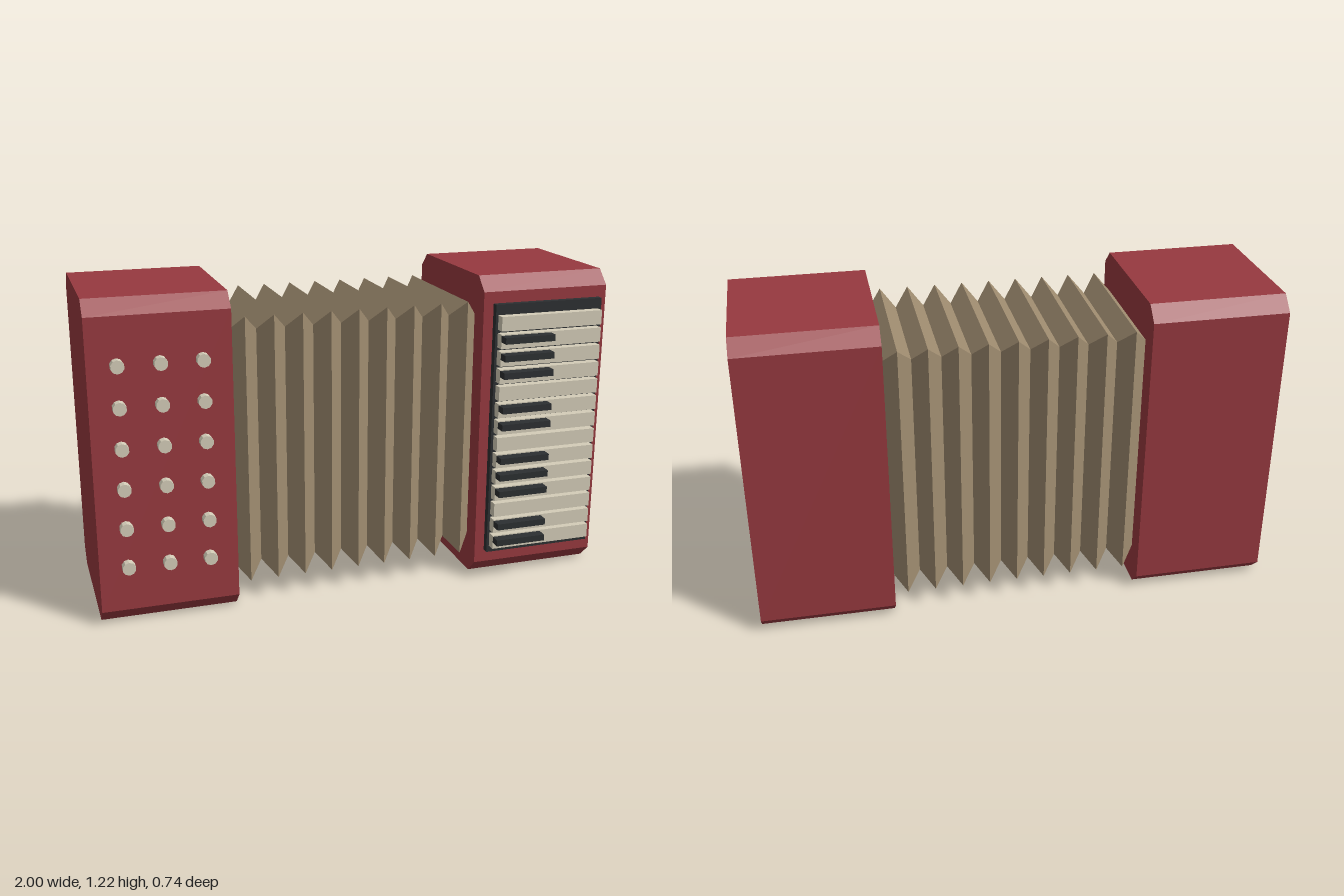
import * as THREE from 'three';

const mat = (color, extra = {}) => new THREE.MeshStandardMaterial({ color, flatShading: true, ...extra });
const red = mat(0x97393f), tan = mat(0x9f8c70, { side: THREE.DoubleSide });
const cream = mat(0xd4cdb8), black = mat(0x2c2f31);

const MID_Y = 0.6075, MID_Z = -0.05; // centre of cases and bellows
const CASE_FRONT = 0.27;

function add(parent, name, geometry, material, x, y, z) {
  const mesh = new THREE.Mesh(geometry, material);
  mesh.name = name;
  mesh.position.set(x, y, z);
  parent.add(mesh);
  return mesh;
}

// Box given by its x and z ranges, centre height and height
function slab(parent, name, material, x0, x1, y, h, z0, z1) {
  add(parent, name, new THREE.BoxGeometry(x1 - x0, h, z1 - z0), material, (x0 + x1) / 2, y, (z0 + z1) / 2);
}

// End case: rectangle with chamfered corners, extruded along x
function caseGeometry() {
  const w = 0.32, h = MID_Y, c = 0.055, depth = 0.515;
  const shape = new THREE.Shape([
    [w - c, -h], [w, c - h], [w, h - c], [w - c, h],
    [c - w, h], [-w, h - c], [-w, c - h], [c - w, -h],
  ].map(([x, y]) => new THREE.Vector2(x, y)));
  return new THREE.ExtrudeGeometry(shape, { depth, bevelEnabled: false })
    .translate(0, 0, -depth / 2).rotateY(Math.PI / 2);
}

// Bellows: rectangular rings alternating between valley and peak
function bellowsGeometry(pleats = 9, halfLength = 0.485) {
  const rings = [];
  for (let i = 0; i <= pleats * 2; i++) {
    const x = -halfLength + (i * halfLength) / pleats;
    const [h, d] = i % 2 ? [0.515, 0.294] : [0.455, 0.238];
    rings.push([[x, -h, d], [x, -h, -d], [x, h, -d], [x, h, d]]);
  }
  const pos = [];
  for (let i = 0; i < rings.length - 1; i++) {
    for (let k = 0; k < 4; k++) {
      const n = (k + 1) % 4;
      const a = rings[i][k], b = rings[i][n], c = rings[i + 1][n], d = rings[i + 1][k];
      pos.push(...a, ...b, ...c, ...a, ...c, ...d);
    }
  }
  const g = new THREE.BufferGeometry();
  g.setAttribute('position', new THREE.Float32BufferAttribute(pos, 3));
  g.computeVertexNormals();
  return g;
}

export function createModel() {
  const model = new THREE.Group();
  model.name = 'accordion';

  // Cases and bellows
  const body = caseGeometry();
  add(model, 'rightCase', body, red, -0.7425, MID_Y, MID_Z);
  add(model, 'leftCase', body, red, 0.7425, MID_Y, MID_Z);
  add(model, 'bellows', bellowsGeometry(), tan, 0, MID_Y, MID_Z);

  // Bass buttons, three columns of six
  const buttons = new THREE.Group();
  buttons.name = 'buttons';
  const button = new THREE.CylinderGeometry(0.025, 0.025, 0.04, 10).rotateX(Math.PI / 2);
  for (let col = 0; col < 3; col++) {
    for (let row = 0; row < 6; row++) {
      add(buttons, 'button', button, cream, -0.895 + col * 0.151, 0.23 + row * 0.1513, CASE_FRONT + 0.012);
    }
  }
  model.add(buttons);

  // Keyboard: backing board, white keys, and black keys in groups of two and three
  const keyboard = new THREE.Group();
  keyboard.name = 'keyboard';
  slab(keyboard, 'keyBoardBase', black, 0.525, 0.97, 0.61, 1.01, CASE_FRONT - 0.01, 0.295);
  const blackAfter = [0, 1, 3, 4, 5, 7, 8, 10, 11, 12];
  for (let i = 0; i < 14; i++) {
    const y = 0.16 + i * 0.0682;
    slab(keyboard, 'whiteKey', cream, 0.535, 0.955, y, 0.056, 0.295, 0.33);
    if (blackAfter.includes(i)) slab(keyboard, 'blackKey', black, 0.535, 0.74, y + 0.0115, 0.025, 0.33, 0.37);
  }
  model.add(keyboard);

  return model;
}
